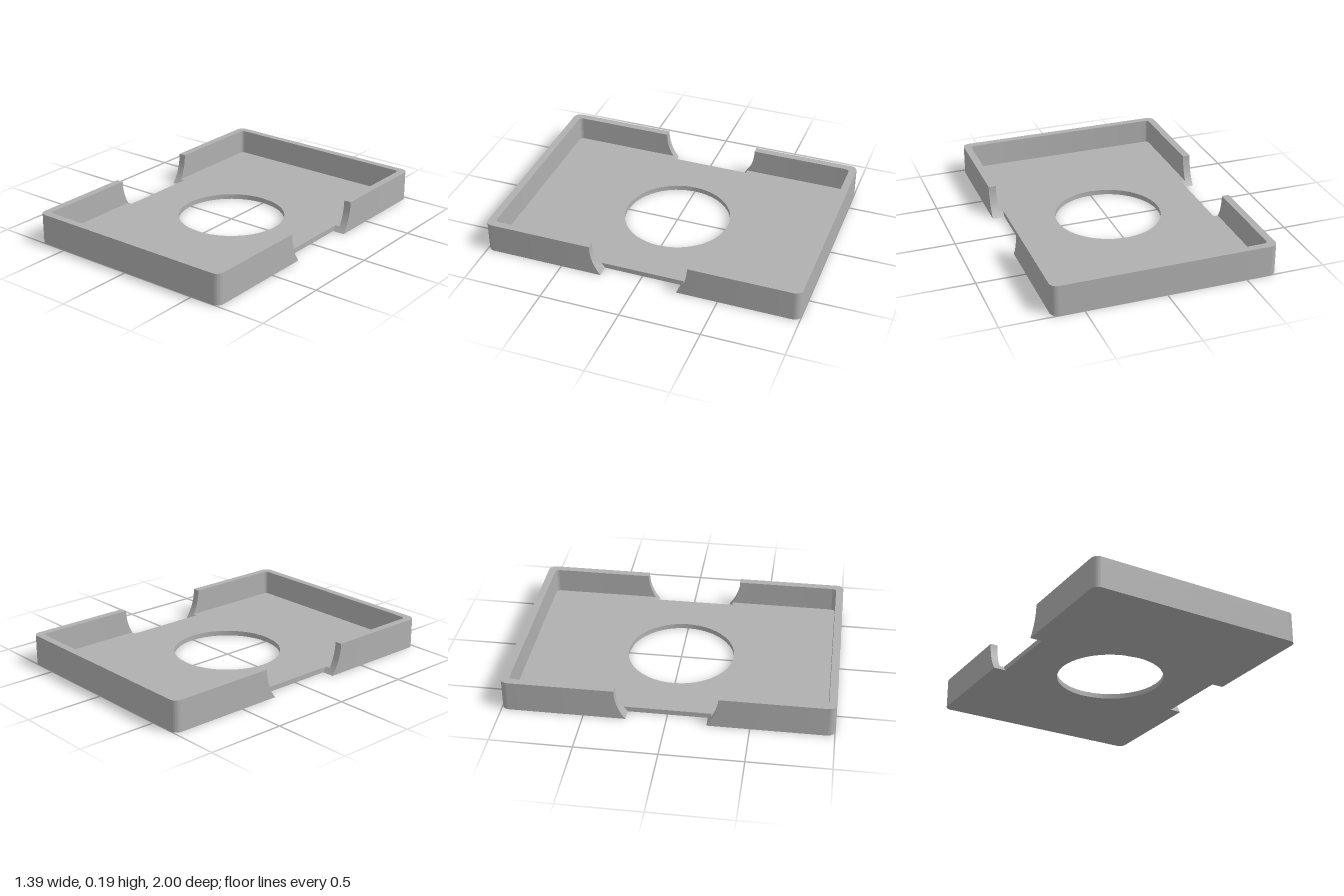
import * as THREE from 'three';
import { toCreasedNormals } from 'three/addons/utils/BufferGeometryUtils.js';

const W = 0.695, L = 1, H = 0.193;          // half width, half length, height
const FLOOR = 0.032, WALL = 0.047;          // floor and wall thickness
const NOTCH_X = 0.618, NOTCH_R = 0.31;      // side cut-outs: depth and radius
const HOLE_R = 0.337;
const R_OUT = 0.045, R_IN = 0.025;          // corner radii

// Extrude a plan shape upward from y0 to y1, then bend the edges of the
// side cut-outs onto a round scoop centred at the rim.
function slab(shape, y0, y1, steps) {
  const geo = new THREE.ExtrudeGeometry(shape, {
    depth: y1 - y0, steps, bevelEnabled: false, curveSegments: 24,
  });
  geo.rotateX(-Math.PI / 2).translate(0, y0, 0);
  const p = geo.attributes.position;
  for (let i = 0; i < p.count; i++) {
    const z = p.getZ(i);
    if (Math.abs(p.getX(i)) > 0.6 && Math.abs(z) < NOTCH_R + 0.01) {
      const drop = H - p.getY(i);
      p.setZ(i, Math.sign(z) * Math.sqrt(NOTCH_R ** 2 - drop ** 2));
    }
  }
  return toCreasedNormals(geo, 0.5);
}

// Rounded end of the tray, from the right side round to the left
function traceEnd(s, w, l, r) {
  s.lineTo(w, l - r);
  s.absarc(w - r, l - r, r, 0, Math.PI / 2, false);
  s.lineTo(-w + r, l);
  s.absarc(-w + r, l - r, r, Math.PI / 2, Math.PI, false);
}

// Floor outline with two side notches and a round opening
function floorShape() {
  const s = new THREE.Shape();
  s.moveTo(W, NOTCH_R);
  traceEnd(s, W, L, R_OUT);
  s.lineTo(-W, NOTCH_R);
  s.lineTo(-NOTCH_X, NOTCH_R);
  s.lineTo(-NOTCH_X, -NOTCH_R);
  s.lineTo(-W, -NOTCH_R);
  s.lineTo(-W, -L + R_OUT);
  s.absarc(-W + R_OUT, -L + R_OUT, R_OUT, Math.PI, Math.PI * 1.5, false);
  s.lineTo(W - R_OUT, -L);
  s.absarc(W - R_OUT, -L + R_OUT, R_OUT, Math.PI * 1.5, Math.PI * 2, false);
  s.lineTo(W, -NOTCH_R);
  s.lineTo(NOTCH_X, -NOTCH_R);
  s.lineTo(NOTCH_X, NOTCH_R);
  s.closePath();
  const hole = new THREE.Path();
  hole.absarc(0, 0, HOLE_R, 0, Math.PI * 2, true);
  s.holes.push(hole);
  return s;
}

// U-shaped wall around one end
function wallShape() {
  const w = W - WALL, l = L - WALL, s = new THREE.Shape();
  s.moveTo(W, NOTCH_R);
  traceEnd(s, W, L, R_OUT);
  s.lineTo(-W, NOTCH_R);
  s.lineTo(-w, NOTCH_R);
  s.lineTo(-w, l - R_IN);
  s.absarc(-w + R_IN, l - R_IN, R_IN, Math.PI, Math.PI / 2, true);
  s.lineTo(w - R_IN, l);
  s.absarc(w - R_IN, l - R_IN, R_IN, Math.PI / 2, 0, true);
  s.lineTo(w, NOTCH_R);
  s.closePath();
  return s;
}

export function createModel() {
  const group = new THREE.Group();
  group.name = 'tray';
  const grey = new THREE.MeshStandardMaterial({ color: 0xb0b0b0 });
  grey.name = 'grey';

  const floor = new THREE.Mesh(slab(floorShape(), 0, FLOOR, 3), grey);
  floor.name = 'floor';
  group.add(floor);

  const wallGeo = slab(wallShape(), FLOOR, H, 14);
  ['backWall', 'frontWall'].forEach((name, i) => {
    const wall = new THREE.Mesh(wallGeo, grey);
    wall.name = name;
    wall.rotation.y = i * Math.PI;
    group.add(wall);
  });
  return group;
}
